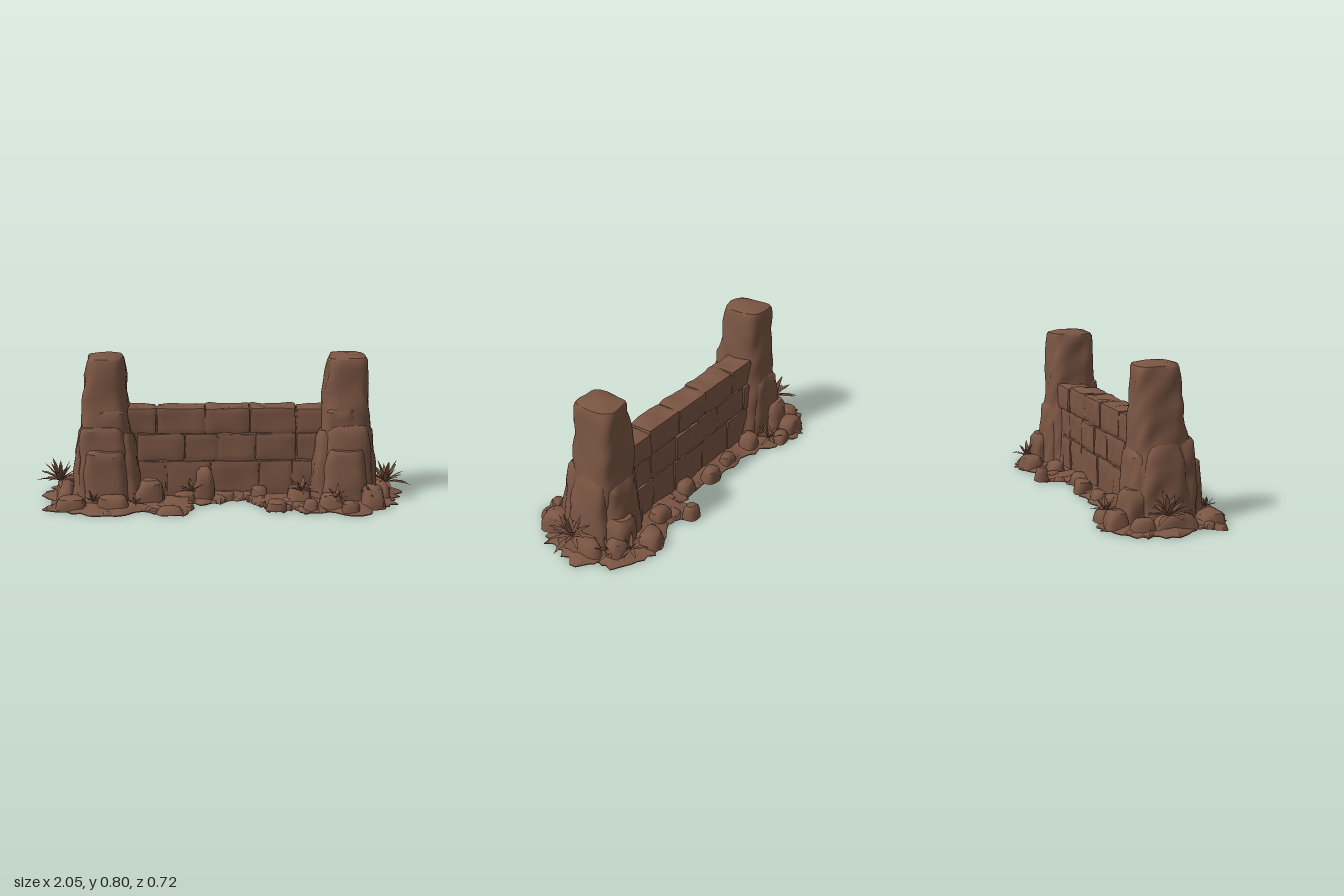
import * as THREE from 'three';
import { mergeGeometries, mergeVertices, toCreasedNormals } from 'three/addons/utils/BufferGeometryUtils.js';

let seed = 7;
const rnd = (a = 0, b = 1) => {
  seed = (seed * 16807) % 2147483647;
  return a + (b - a) * seed / 2147483647;
};

// smooth, position-based roughness: shared corners always move together
const rough = (x, y, z) =>
  Math.sin(x * 31 + y * 9 + z * 17) * 0.5 + Math.sin(z * 43 - y * 23 + x * 11 + 1.3) * 0.35
  + Math.sin(y * 37 + x * 57 - z * 29 + 4) * 0.3;

function build(pos, index) {
  const g = new THREE.BufferGeometry();
  g.setAttribute('position', new THREE.Float32BufferAttribute(pos, 3));
  g.setIndex(index);
  return g;
}

// triangles joining closed rings of equal size
function joinRings(rings, size) {
  const index = [];
  for (let j = 0; j < rings - 1; j++) {
    for (let i = 0; i < size; i++) {
      const a = j * size + i, c = j * size + (i + 1) % size;
      index.push(a, a + size, c, c, a + size, c + size);
    }
  }
  return index;
}

// stone lofted through rounded-square sections [y, x0, x1, z0, z1]; tilt makes the top uneven
function loft(sections, { amount = 0.006, sides = 28, square = 0.45, tilt = 0 } = {}) {
  const pos = [], rows = [];
  const mix = (a, b, t) => a.map((v, i) => v + (b[i] - v) * t);
  sections.forEach((s, i) => {
    rows.push(s);
    const next = sections[i + 1];
    if (!next) return;
    const steps = Math.max(1, Math.round((next[0] - s[0]) / 0.04));
    for (let k = 1; k < steps; k++) rows.push(mix(s, next, k / steps));
  });
  const round = (v) => Math.sign(v) * Math.abs(v) ** square;
  for (const [y, x0, x1, z0, z1] of rows) {
    for (let i = 0; i < sides; i++) {
      const a = i / sides * Math.PI * 2, c = round(Math.cos(a)), s = round(Math.sin(a));
      const x = (x0 + x1) / 2 + c * (x1 - x0) / 2, z = (z0 + z1) / 2 + s * (z1 - z0) / 2;
      const n = rough(x, y, z) * amount;
      pos.push(x + c * n, y * (1 + tilt * rough(x * 0.6, 0, z * 0.6)), z + s * n);
    }
  }
  const index = joinRings(rows.length, sides);
  const [y, x0, x1, z0, z1] = rows[rows.length - 1], top = (rows.length - 1) * sides;
  pos.push((x0 + x1) / 2, y + 0.004, (z0 + z1) / 2);
  for (let i = 0; i < sides; i++) index.push(pos.length / 3 - 1, top + (i + 1) % sides, top + i);
  return toCreasedNormals(build(pos, index), 0.7);
}

// rounded boulder sitting on the ground
function boulder(x, z, w, d, h, sides = 18) {
  const level = (y, k) => [y, x - w / 2 * k, x + w / 2 * k, z - d / 2 * k, z + d / 2 * k];
  return loft([level(0.011, 1.06), level(h * 0.55, 0.95), level(h * 0.85, 0.8), level(h * 0.97, 0.55)],
    { amount: Math.min(w, d) * 0.11, sides, square: 0.7, tilt: 0.06 });
}

// worn wall block: a divided box with softened edges and dented faces
function block(x0, x1, y0, y1, z0, z1) {
  const w = x1 - x0, h = y1 - y0, d = z1 - z0, r = 0.011;
  let g = new THREE.BoxGeometry(w, h, d, 12, 8, 8);
  g.deleteAttribute('normal');
  g.deleteAttribute('uv');
  g = mergeVertices(g);
  const p = g.attributes.position, v = new THREE.Vector3(), inner = new THREE.Vector3();
  const limit = new THREE.Vector3(w / 2 - r, h / 2 - r, d / 2 - r), low = limit.clone().negate();
  for (let i = 0; i < p.count; i++) {
    v.fromBufferAttribute(p, i);
    inner.copy(v).clamp(low, limit);
    v.sub(inner).normalize();
    const n = rough(inner.x + x0, inner.y + y0, inner.z + z0) * 0.006;
    v.multiplyScalar(r + n).add(inner);
    p.setXYZ(i, v.x, v.y, v.z);
  }
  g.translate((x0 + x1) / 2, (y0 + y1) / 2, (z0 + z1) / 2);
  return toCreasedNormals(g, 0.7);
}

// rosette of pointed, folded blades
function rosette(x, y, z, size, count) {
  const blades = [];
  for (let i = 0; i < count; i++) {
    const turn = i * 2.4, lift = 0.1 + 1.2 * (i / count), len = size * rnd(0.8, 1.1);
    const pos = [], index = [];
    [[0, 0.06], [0.35, 0.1], [0.7, 0.07], [1, 0.002]].forEach(([t, half], j) => {
      const out = Math.cos(lift) * t * len, up = Math.sin(lift) * t * len - 0.25 * len * t * t * Math.cos(lift);
      pos.push(out, up + half * len * 0.3, -half * len, out, up, 0, out, up + half * len * 0.3, half * len);
      if (j) for (const k of [0, 1]) {
        const a = (j - 1) * 3 + k;
        index.push(a, a + 1, a + 3, a + 1, a + 4, a + 3);
      }
    });
    const g = build(pos, index);
    g.computeVertexNormals();
    blades.push(g.rotateY(turn).translate(x, y, z));
  }
  return mergeGeometries(blades);
}

export function createModel() {
  const model = new THREE.Group();
  const stone = new THREE.MeshStandardMaterial({ color: 0x7a5543, side: THREE.DoubleSide });
  stone.name = 'brown stone';
  const add = (name, geometry, parent = model) => {
    const mesh = new THREE.Mesh(geometry, stone);
    mesh.name = name;
    parent.add(mesh);
  };

  // ragged ground patch, narrow in the middle and rising towards wall and pillars
  const outline = [
    [-.93, -.16], [-.9, -.23], [-.77, -.3], [-.72, -.34], [-.61, -.31], [-.45, -.25], [-.32, -.2], [-.13, -.21],
    [.08, -.19], [.25, -.19], [.28, -.3], [.35, -.31], [.37, -.22], [.48, -.28], [.62, -.34], [.75, -.31],
    [.88, -.25], [.9, -.16], [.97, -.1], [.94, .05], [.91, .15], [.82, .24], [.72, .33], [.57, .3], [.43, .31],
    [.38, .23], [.32, .27], [.24, .26], [.22, .19], [.15, .1], [.13, .04], [.06, .08], [-.1, .13],
    [-.22, .13], [-.21, .21], [-.18, .29], [-.3, .32], [-.4, .26], [-.6, .31], [-.8, .27], [-.93, .2],
    [-.87, .1], [-.96, -.03]];
  const edge = new THREE.CatmullRomCurve3(outline.map(([x, z]) => new THREE.Vector3(x, 0, z)), true).getPoints(190);
  edge.pop();
  const spine = (p) => new THREE.Vector3(THREE.MathUtils.clamp(p.x, -0.68, 0.68), 0, -0.02);
  const ragged = edge.map((p) => {
    const out = p.clone().sub(spine(p)).normalize().multiplyScalar(rnd(-0.016, 0.032)).add(p);
    out.x = THREE.MathUtils.clamp(out.x, -0.99, 1);
    return out;
  });
  const rings = [[1, .006], [0, .006], [0, .011], [.07, .02], [.2, .03], [.4, .04], [.7, .045]];
  const groundPos = [];
  rings.forEach(([t, y], j) => {
    for (const p of ragged) {
      const q = p.clone().lerp(spine(p), t);
      groundPos.push(q.x, y + (j > 2 ? 0.007 * rough(q.x, 0, q.z) : 0), q.z);
    }
  });
  add('ground', toCreasedNormals(build(groundPos, joinRings(rings.length, ragged.length)), 0.7));

  // wall courses
  const wall = new THREE.Group();
  wall.name = 'wall';
  model.add(wall);
  add('wallCore', new THREE.BoxGeometry(1.1, 0.47, 0.12).translate(0.02, 0.25, -0.05), wall);
  const courses = [
    [0.013, 0.217, [-0.55, -0.3, -0.06, 0.2, 0.38, 0.6]],
    [0.217, 0.367, [-0.58, -0.455, -0.2, -0.02, 0.18, 0.4, 0.6]],
    [0.367, 0.507, [-0.56, -0.35, -0.09, 0.15, 0.4, 0.6]]];
  for (const [y0, y1, joints] of courses) {
    for (let i = 0; i < joints.length - 1; i++) {
      const lean = rnd(-0.006, 0.006);
      add('wallBlock', block(joints[i], joints[i + 1], y0, y1 + lean * 0.7, -0.122 + lean, 0.022 + lean), wall);
    }
  }

  // pillars: a tapering core, slightly slimmer on one side, with broken slabs leaning against it
  const coreDepths = [[-.175, .145], [-.167, .138], [-.157, .118], [-.148, .1], [-.14, .09], [-.134, .083], [-.09, .04]];
  const coreLevels = [.011, .2, .42, .6, .77, .785, .797];
  const coreWidths = {
    leftPillar: [[.495, .825], [.515, .808], [.535, .795], [.548, .787], [.565, .776], [.572, .768], [.61, .73]],
    rightPillar: [[-.8, -.455], [-.78, -.475], [-.752, -.497], [-.735, -.51], [-.715, -.522], [-.708, -.53], [-.67, -.57]],
  };
  const slabs = {
    outerSlab: [[.011, .7, .842, -.15, .11], [.25, .7, .825, -.135, .09], [.37, .7, .81, -.12, .07], [.42, .7, .785, -.1, .05]],
    frontSlab: [[.011, .53, .78, 0, .205], [.2, .545, .765, 0, .196], [.29, .56, .75, 0, .188], [.306, .57, .74, 0, .175]],
    tallFrontSlab: [[.011, .52, .81, 0, .168], [.3, .545, .795, 0, .15], [.405, .56, .785, 0, .141], [.425, .575, .77, 0, .125]],
    upperFrontSlab: [[.3, .545, .72, 0, .13], [.5, .552, .7, 0, .114], [.52, .565, .68, 0, .1]],
    innerSlab: [[.011, .465, .64, -.14, .16], [.2, .485, .64, -.125, .14], [.36, .508, .64, -.11, .12], [.4, .525, .63, -.1, .1]],
    backSlab: [[.011, .54, .8, -.2, 0], [.2, .555, .79, -.188, 0], [.35, .575, .775, -.178, 0], [.385, .6, .75, -.155, 0]],
    lowBackSlab: [[.011, .64, .81, -.24, -.1], [.165, .65, .8, -.233, -.1], [.195, .67, .78, -.21, -.1]],
  };
  for (const [name, widths] of Object.entries(coreWidths)) {
    const pillar = new THREE.Group();
    pillar.name = name;
    model.add(pillar);
    const core = coreLevels.map((y, i) => [y, ...widths[i], ...coreDepths[i]]);
    add('pillarCore', loft(core, { amount: 0.01, sides: 40, square: 0.52, tilt: 0.004 }), pillar);
    for (const [slab, sections] of Object.entries(slabs)) {
      const placed = name === 'leftPillar' ? sections : sections.map(([y, a, b, c, d]) => [y, 0.035 - b, 0.035 - a, c, d]);
      add(slab, loft(placed, { amount: 0.009, sides: 36, square: 0.52, tilt: 0.03 }), pillar);
    }
  }

  // boulders [x, z, width, depth, height]
  const boulders = [
    [-.38, .12, .15, .13, .145], [-.1, .06, .11, .1, .2], [.28, .23, .11, .11, .06], [-.27, .29, .14, .1, .045],
    [.31, -.31, .09, .08, .085], [-.03, -.19, .11, .09, .09], [-.72, -.27, .14, .12, .1], [.62, -.28, .14, .12, .09],
    [.8, .19, .13, .15, .13], [.87, -.02, .1, .27, .1], [-.85, -.02, .1, .24, .09], [-.8, .19, .15, .14, .08],
    [-.58, .22, .16, .1, .09], [.58, .22, .13, .11, .09], [.8, -.2, .12, .1, .11], [-.84, -.17, .1, .12, .08],
    [.42, .12, .14, .14, .1], [-.22, -.17, .1, .08, .07], [.14, -.15, .12, .08, .08], [-.43, -.18, .12, .1, .1],
    [.43, -.19, .12, .1, .09], [-.2, .08, .12, .1, .06], [.2, .06, .1, .08, .09], [.02, .05, .1, .06, .05],
    [-.6, -.29, .1, .08, .07], [.46, .25, .08, .08, .07], [.67, .3, .09, .07, .07]];
  for (const b of boulders) add('boulder', boulder(...b));

  // loose pebbles round the rim
  const pebbles = [];
  for (const e of edge) {
    const p = e.clone().lerp(spine(e), rnd(0.03, 0.4)), w = rnd(0.03, 0.07);
    pebbles.push(boulder(p.x, p.z, w, w * rnd(0.8, 1.2), w * rnd(0.4, 0.7), 9));
  }
  add('pebbles', mergeGeometries(pebbles));

  // plants [x, y, z, size, blades]
  const plants = [
    [.89, .09, .01, .14, 24], [-.88, .09, -.06, .14, 24], [.42, .09, .17, .1, 14], [.6, .06, .24, .09, 12],
    [-.54, .04, -.25, .1, 14], [.76, .05, -.26, .1, 14], [-.16, .07, .1, .09, 9], [-.68, .06, .23, .07, 10],
    [.78, .08, .21, .09, 10], [.84, .04, -.18, .09, 9], [-.46, .04, .22, .07, 8]];
  for (const p of plants) add('plant', rosette(...p));

  return model;
}
